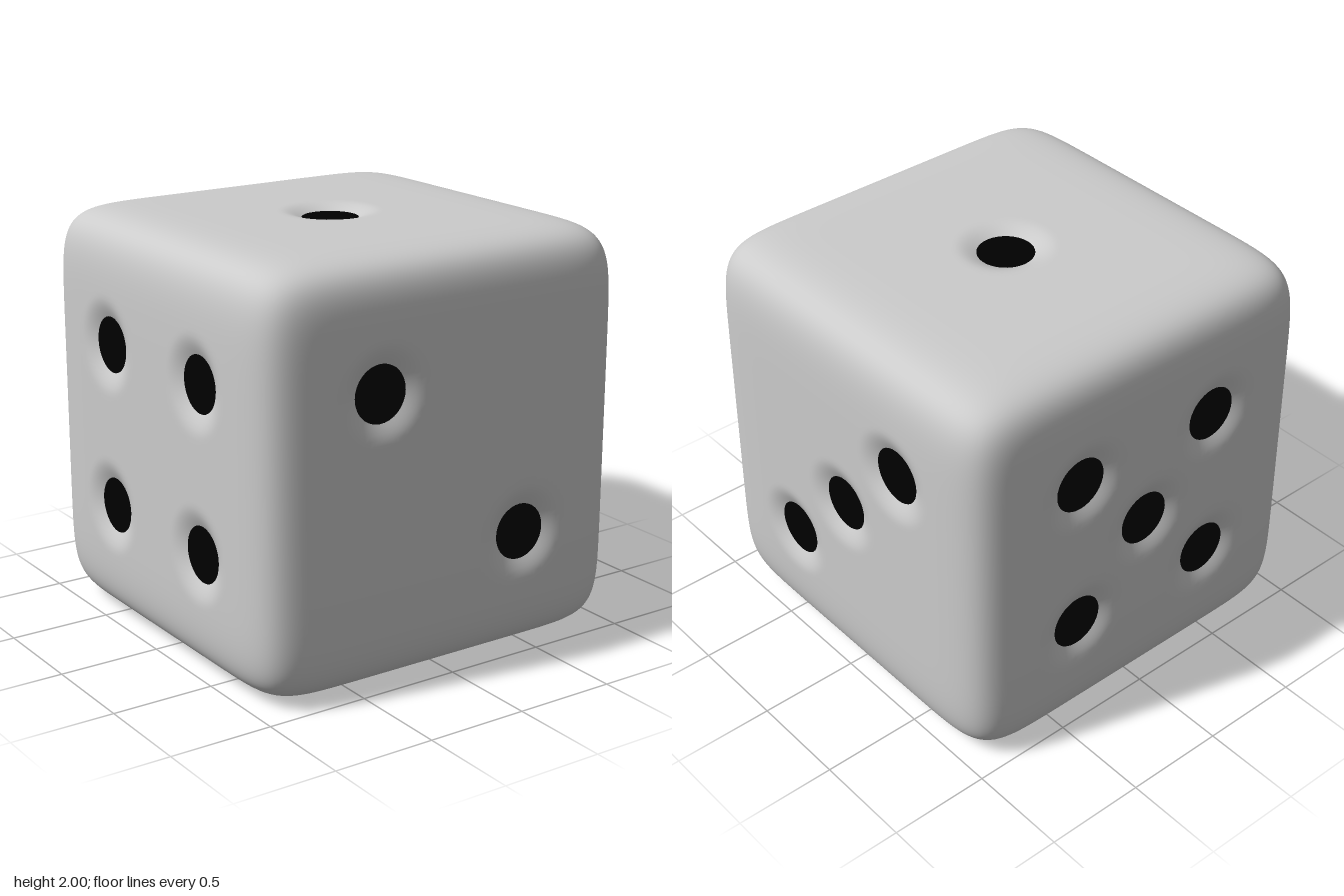
import * as THREE from 'three';
import { mergeVertices } from 'three/addons/utils/BufferGeometryUtils.js';

const O = 0.4; // pip offset from the middle of a face
const ROUND = 10; // superellipsoid power: higher is squarer
const DENT_RADIUS = 0.24, DENT_DEPTH = 0.08;
const PIP_LEVEL = 0.968, PIP_RADIUS = 0.16;

const corners = [[-O, -O], [O, -O], [-O, O], [O, O]];

// Each face: outward normal, two in-plane axes, pip positions along them
const X = [1, 0, 0], Y = [0, 1, 0], Z = [0, 0, 1];
const faces = [
  { name: 'top', n: [0, 1, 0], u: X, v: Z, pips: [[0, 0]] },
  { name: 'front', n: [0, 0, 1], u: X, v: Y, pips: [[-O, O], [O, -O]] },
  { name: 'right', n: [1, 0, 0], u: Z, v: Y, pips: [[-O, O], [0, 0], [O, -O]] },
  { name: 'left', n: [-1, 0, 0], u: Z, v: Y, pips: corners },
  { name: 'back', n: [0, 0, -1], u: X, v: Y, pips: [...corners, [0, 0]] },
  { name: 'bottom', n: [0, -1, 0], u: X, v: Z, pips: [...corners, [0, -O], [0, O]] },
];

// All pips as a centre on the face plus the face normal
function listPips() {
  return faces.flatMap(({ name, n, u, v, pips }) => pips.map(([a, b]) => {
    const normal = new THREE.Vector3(...n);
    const centre = normal.clone()
      .addScaledVector(new THREE.Vector3(...u), a)
      .addScaledVector(new THREE.Vector3(...v), b);
    return { name: name + 'Pip', normal, centre };
  }));
}

// Rounded cube with a smooth dent pressed in at every pip
function bodyGeometry(pips) {
  const box = new THREE.BoxGeometry(2, 2, 2, 80, 80, 80);
  box.deleteAttribute('uv');
  box.deleteAttribute('normal');
  const geometry = mergeVertices(box, 1e-4);
  const pos = geometry.attributes.position;
  const p = new THREE.Vector3();
  for (let i = 0; i < pos.count; i++) {
    p.fromBufferAttribute(pos, i);
    const sum = Math.abs(p.x) ** ROUND + Math.abs(p.y) ** ROUND + Math.abs(p.z) ** ROUND;
    p.multiplyScalar(sum ** (-1 / ROUND));
    let depth = 0, inward = null;
    for (const { centre, normal } of pips) {
      const d = p.distanceTo(centre);
      if (d >= DENT_RADIUS) continue;
      const wave = DENT_DEPTH * 0.5 * (1 + Math.cos(Math.PI * d / DENT_RADIUS));
      if (wave > depth) { depth = wave; inward = normal; }
    }
    if (inward) p.addScaledVector(inward, -depth);
    pos.setXYZ(i, p.x, p.y, p.z);
  }
  geometry.computeVertexNormals();
  return geometry;
}

export function createModel() {
  const group = new THREE.Group();
  group.name = 'die';
  const pips = listPips();

  const body = new THREE.Mesh(bodyGeometry(pips), new THREE.MeshStandardMaterial({ color: 0xcccccc }));
  body.name = 'dieBody';
  body.position.y = 1;
  group.add(body);

  // Black discs lying inside the dents
  const disc = new THREE.CircleGeometry(PIP_RADIUS, 40);
  const black = new THREE.MeshStandardMaterial({ color: 0x000000 });
  const forward = new THREE.Vector3(0, 0, 1);
  for (const { name, normal, centre } of pips) {
    const pip = new THREE.Mesh(disc, black);
    pip.name = name;
    pip.quaternion.setFromUnitVectors(forward, normal);
    pip.position.copy(centre).addScaledVector(normal, PIP_LEVEL - 1);
    pip.position.y += 1;
    group.add(pip);
  }
  return group;
}
